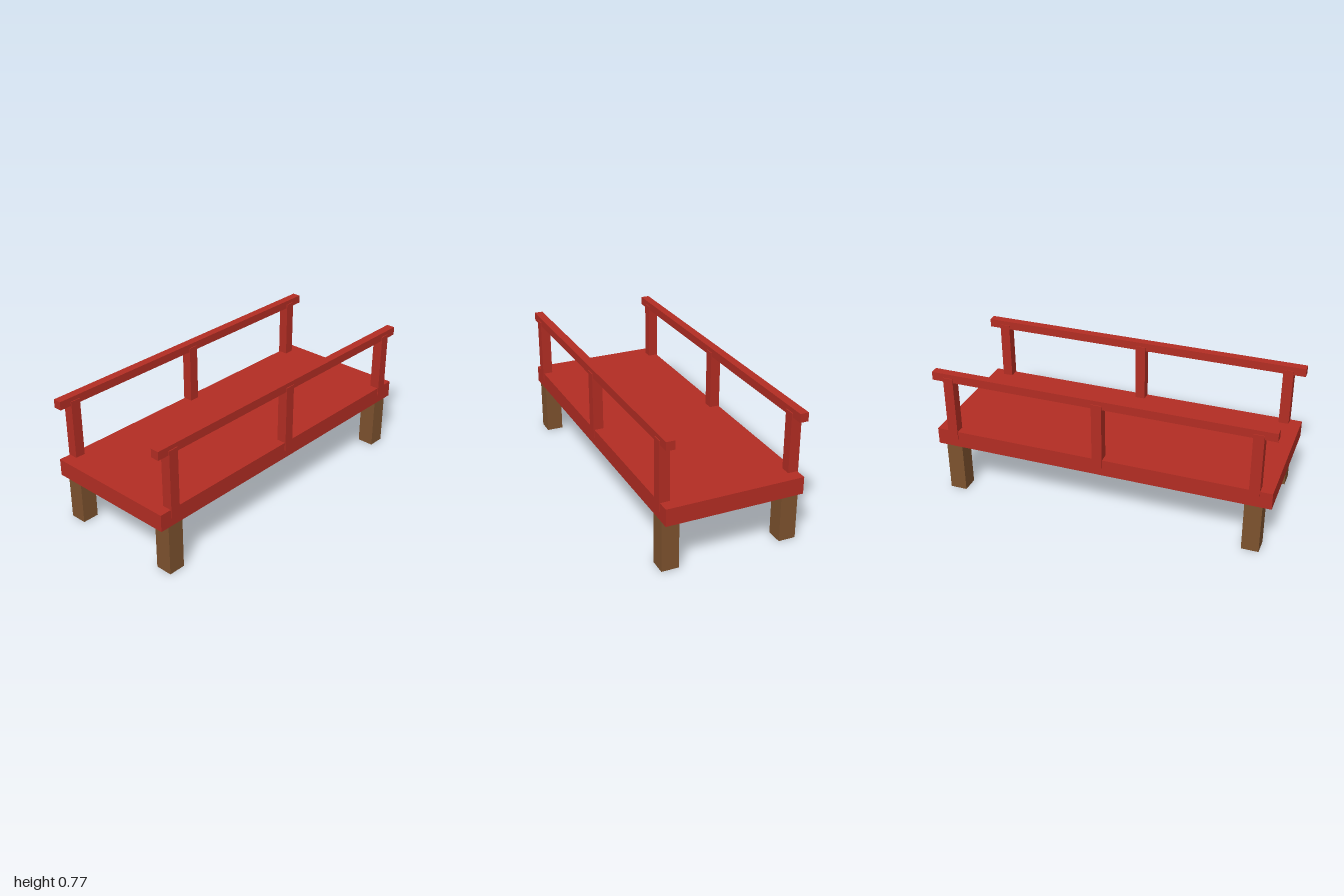
import * as THREE from 'three';

export function createModel() {
  const model = new THREE.Group();
  model.name = 'footbridge';

  const red = new THREE.MeshStandardMaterial({ color: 0xb32d23 });
  red.name = 'red paint';
  const brown = new THREE.MeshStandardMaterial({ color: 0x7d522e });
  brown.name = 'brown wood';

  function addBox(name, size, position, material) {
    const mesh = new THREE.Mesh(new THREE.BoxGeometry(...size), material);
    mesh.name = name;
    mesh.position.set(...position);
    model.add(mesh);
  }

  // Walking deck
  addBox('deck', [0.8, 0.1, 2], [0, 0.35, 0], red);

  for (const [side, s] of [['left', 1], ['right', -1]]) {
    // Handrail along the whole deck
    addBox(`${side}Handrail`, [0.05, 0.05, 2], [s * 0.375, 0.75, 0], red);

    // Railing posts, slightly proud of the deck edge
    for (const [place, z] of [['Front', 0.9], ['Middle', 0], ['Back', -0.9]]) {
      addBox(`${side}${place}Post`, [0.06, 0.4, 0.06], [s * 0.375, 0.55, z], red);
    }

    // Support legs under the corners
    for (const [place, z] of [['Front', 0.9], ['Back', -0.9]]) {
      addBox(`${side}${place}Leg`, [0.1, 0.3, 0.1], [s * 0.35, 0.15, z], brown);
    }
  }

  return model;
}
